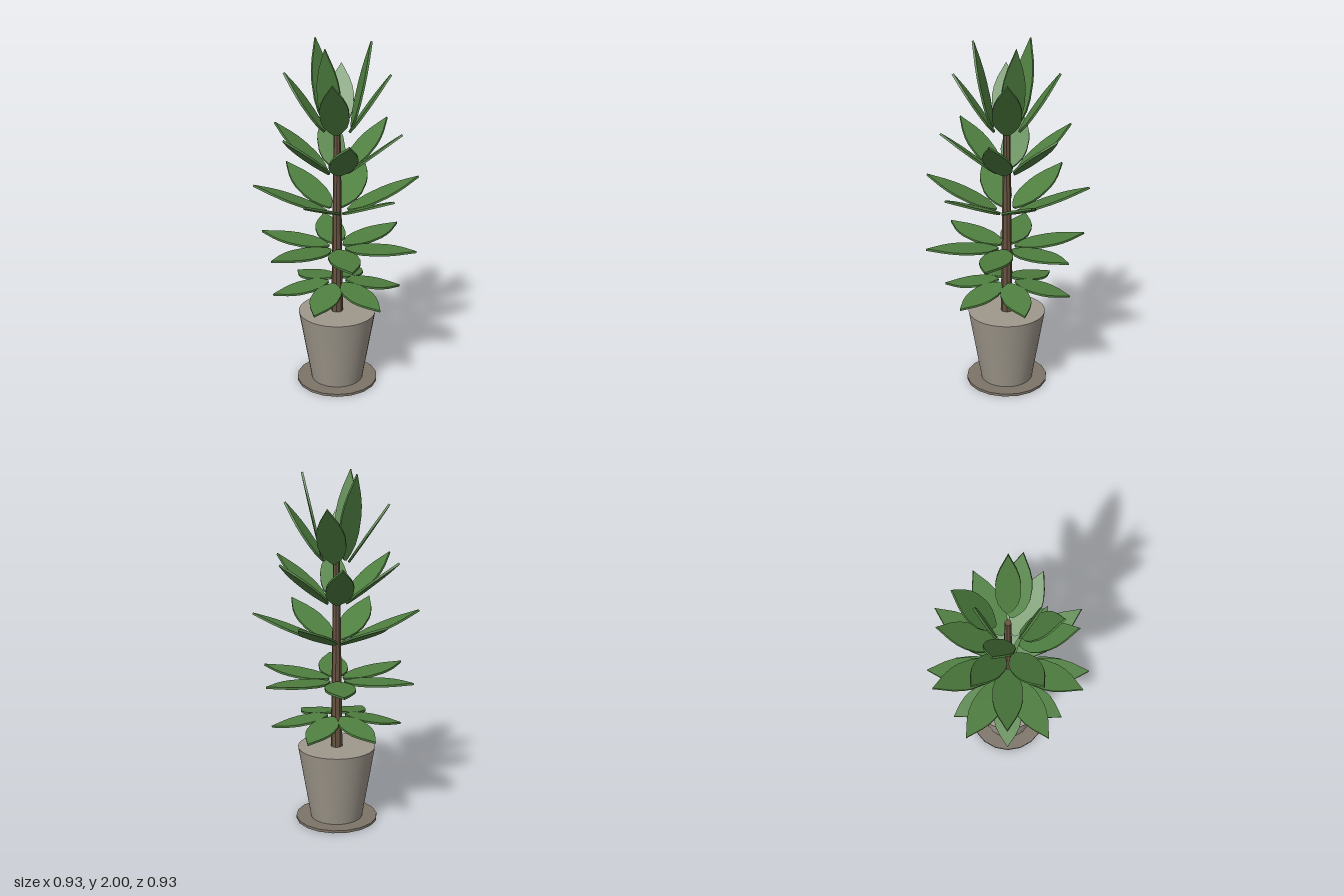
import * as THREE from 'three';

const mat = (color) => new THREE.MeshStandardMaterial({ color });
const leafMat = mat(0x4f7f40);
leafMat.flatShading = true;

// Half outline of a leaf: position along its length, share of the half width
const PROFILE = [[0, 0.12], [0.08, 0.5], [0.18, 0.82], [0.32, 1], [0.52, 1], [0.64, 0.88], [0.77, 0.63]];

// Flat leaf growing along +x from the origin, its top facing +y
function leafGeometry(length, halfWidth) {
  const lower = PROFILE.map(([t, w]) => new THREE.Vector2(t * length, -w * halfWidth));
  const upper = PROFILE.map(([t, w]) => new THREE.Vector2(t * length, w * halfWidth)).reverse();
  const shape = new THREE.Shape([...lower, new THREE.Vector2(length, 0), ...upper]);
  const thickness = 0.012;
  const geo = new THREE.ExtrudeGeometry(shape, { depth: thickness, bevelEnabled: false });
  return geo.translate(0, 0, -thickness / 2).rotateX(-Math.PI / 2);
}

// Whorls from bottom to top: base and tip as [radius, height], first angle in degrees
const WHORLS = [
  { base: [0.05, 0.625], tip: [0.37, 0.565], count: 6, start: 30, width: 0.08 },
  { base: [0.05, 0.832], tip: [0.465, 0.868], count: 6, start: 0, width: 0.083 },
  { base: [0.06, 1.055], tip: [0.465, 1.228], count: 6, start: 30, width: 0.082 },
  { base: [0.062, 1.282], tip: [0.37, 1.528], count: 6, start: 0, width: 0.075 },
  { base: [0.068, 1.51], tip: [0.288, 1.83], count: 4, start: 45, width: 0.078 },
  { base: [0.08, 1.53], tip: [0.186, 1.998], count: 3, start: 90, width: 0.064 },
];

export function createModel() {
  const plant = new THREE.Group();
  plant.name = 'pottedPlant';

  const add = (name, geometry, material, y) => {
    const mesh = new THREE.Mesh(geometry, material);
    mesh.name = name;
    mesh.position.y = y;
    plant.add(mesh);
  };

  // Saucer, tapered pot and stem
  add('saucer', new THREE.CylinderGeometry(0.235, 0.235, 0.015, 18), mat(0x7d7468), 0.0075);
  add('pot', new THREE.CylinderGeometry(0.222, 0.15, 0.425, 32), mat(0x9f988c), 0.2275);
  const bark = mat(0x66523f);
  bark.flatShading = true;
  add('stem', new THREE.CylinderGeometry(0.018, 0.034, 1.16, 8), bark, 1.015);

  // Rings of leaves, steeper towards the top
  WHORLS.forEach(({ base, tip, count, start, width }, i) => {
    const whorl = new THREE.Group();
    whorl.name = `leafWhorl${i + 1}`;
    const dr = tip[0] - base[0], dy = tip[1] - base[1];
    const geo = leafGeometry(Math.hypot(dr, dy), width)
      .rotateZ(Math.atan2(dy, dr))
      .translate(base[0], base[1], 0);
    for (let k = 0; k < count; k++) {
      const leaf = new THREE.Mesh(geo, leafMat);
      leaf.name = 'leaf';
      leaf.rotation.y = THREE.MathUtils.degToRad(start) + (k * 2 * Math.PI) / count;
      whorl.add(leaf);
    }
    plant.add(whorl);
  });

  return plant;
}
